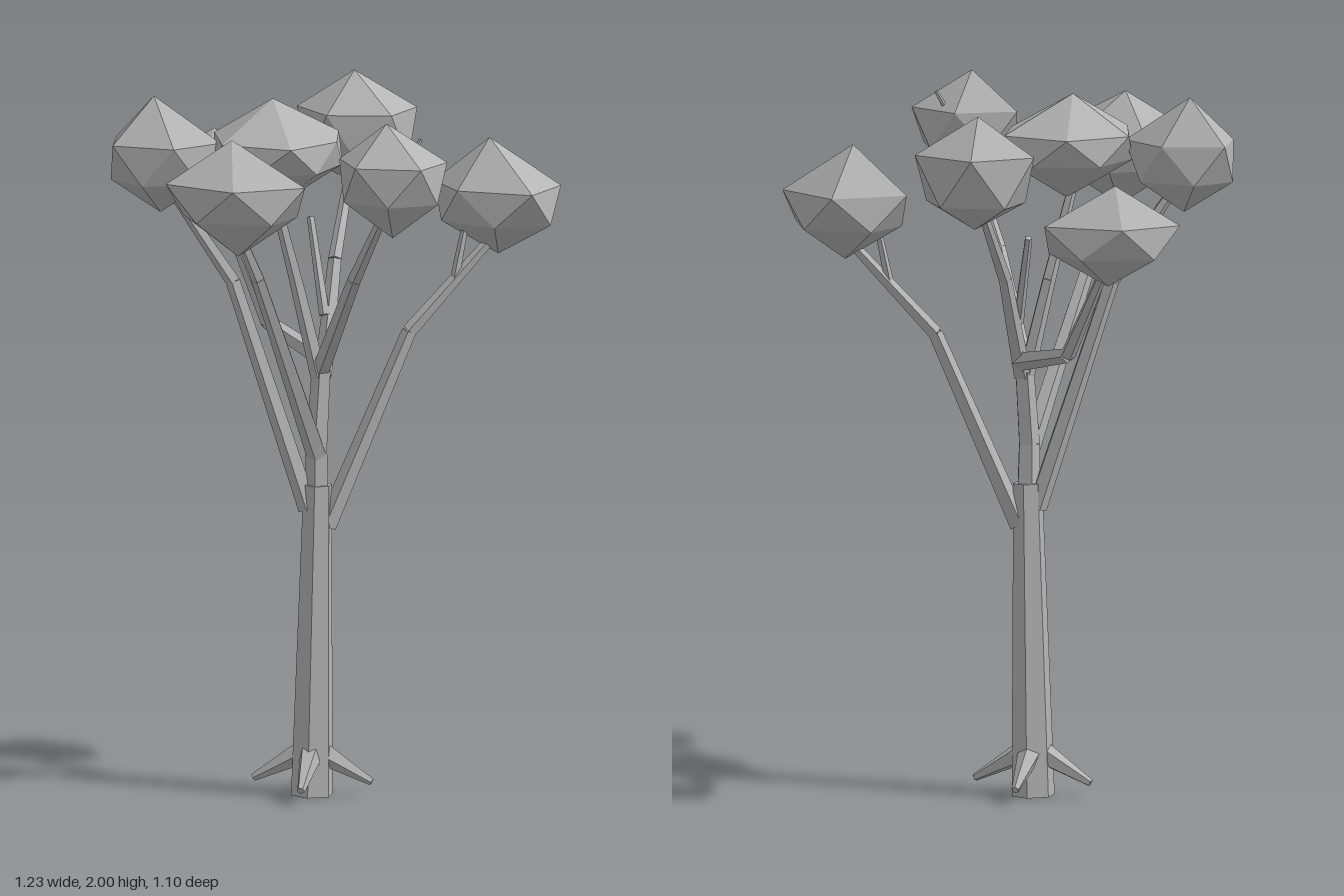
import * as THREE from 'three';

const grey = new THREE.MeshStandardMaterial({ color: 0xb4b4b4, flatShading: true });
grey.name = 'grey';

const UP = new THREE.Vector3(0, 1, 0);

// Tapered limb through points of [x, y, z, radius], one faceted piece per span
function limb(name, points, sides = 5) {
  const group = new THREE.Group();
  group.name = name;
  for (let i = 0; i < points.length - 1; i++) {
    const a = new THREE.Vector3(...points[i]);
    const b = new THREE.Vector3(...points[i + 1]);
    const dir = b.clone().sub(a);
    const geo = new THREE.CylinderGeometry(points[i + 1][3], points[i][3], dir.length(), sides);
    const mesh = new THREE.Mesh(geo, grey);
    mesh.name = name + 'Segment';
    mesh.position.copy(a).add(b).multiplyScalar(0.5);
    mesh.quaternion.setFromUnitVectors(UP, dir.normalize());
    group.add(mesh);
  }
  return group;
}

// Faceted leaf clump: apex, upper ring, staggered lower ring, bottom point
function clump({ name, apex, top, bottom, upper, lower, ring }) {
  const n = ring.length;
  const cx = ring.reduce((s, p) => s + p[0], 0) / n;
  const cz = ring.reduce((s, p) => s + p[1], 0) / n;
  const U = ring.map(([x, z]) => [x, upper, z]);
  const L = ring.map(([x, z], i) => {
    const q = ring[(i + 1) % n];
    return [cx + ((x + q[0]) / 2 - cx) * 1.08, lower, cz + ((z + q[1]) / 2 - cz) * 1.08];
  });
  const A = [apex[0], top, apex[1]];
  const B = [cx, bottom, cz];
  const v = [];
  for (let i = 0; i < n; i++) {
    const j = (i + 1) % n;
    v.push(...A, ...U[j], ...U[i]);
    v.push(...U[i], ...U[j], ...L[i]);
    v.push(...U[j], ...L[j], ...L[i]);
    v.push(...B, ...L[i], ...L[j]);
  }
  const geo = new THREE.BufferGeometry();
  geo.setAttribute('position', new THREE.Float32BufferAttribute(v, 3));
  geo.computeVertexNormals();
  const mesh = new THREE.Mesh(geo, grey);
  mesh.name = name;
  return mesh;
}

// Ring corners are [x, z], clockwise from above
const CLUMPS = [
  { name: 'backRightClump', apex: [-0.42, -0.42], top: 1.82, bottom: 1.53, upper: 1.71, lower: 1.62,
    ring: [[-0.6, -0.385], [-0.47, -0.52], [-0.24, -0.515], [-0.24, -0.34], [-0.425, -0.275]] },
  { name: 'backClump', apex: [-0.02, -0.43], top: 2, bottom: 1.675, upper: 1.89, lower: 1.75,
    ring: [[-0.185, -0.43], [-0.035, -0.55], [0.15, -0.48], [0.105, -0.335], [-0.075, -0.305]] },
  { name: 'leftClump', apex: [0.41, -0.215], top: 1.865, bottom: 1.535, upper: 1.73, lower: 1.63,
    ring: [[0.245, -0.24], [0.43, -0.36], [0.61, -0.24], [0.56, -0.075], [0.34, -0.1]] },
  { name: 'middleClump', apex: [-0.165, 0.02], top: 2, bottom: 1.7, upper: 1.89, lower: 1.81,
    ring: [[-0.34, -0.015], [-0.195, -0.143], [0, -0.103], [0.027, 0.063], [-0.075, 0.21], [-0.28, 0.172]] },
  { name: 'rightClump', apex: [-0.5, 0.05], top: 2, bottom: 1.67, upper: 1.87, lower: 1.76,
    ring: [[-0.617, 0], [-0.445, -0.046], [-0.31, 0.046], [-0.42, 0.166], [-0.6, 0.143]] },
  { name: 'frontRightClump', apex: [-0.21, 0.388], top: 1.95, bottom: 1.62, upper: 1.83, lower: 1.73,
    ring: [[-0.385, 0.458], [-0.295, 0.302], [-0.09, 0.285], [0.01, 0.438], [-0.175, 0.547]] },
  { name: 'frontLeftClump', apex: [0.22, 0.318], top: 2, bottom: 1.675, upper: 1.89, lower: 1.78,
    ring: [[0.08, 0.295], [0.24, 0.215], [0.388, 0.288], [0.34, 0.425], [0.153, 0.434]] },
];

const LIMBS = {
  leftBranch: [[-0.02, 0.77, -0.03, 0.03], [0.2, 1.32, -0.115, 0.022], [0.42, 1.58, -0.2, 0.015]],
  rightBranch: [[-0.07, 0.82, -0.02, 0.03], [-0.28, 1.47, 0.01, 0.022], [-0.44, 1.72, 0.05, 0.015]],
  frontRightBranch: [[-0.045, 0.98, -0.01, 0.03], [-0.15, 1.54, 0.31, 0.02], [-0.19, 1.68, 0.38, 0.015]],
  frontLeftBranch: [[-0.035, 1.22, -0.02, 0.026], [0.1, 1.52, 0.18, 0.02], [0.21, 1.74, 0.29, 0.013]],
  backRightBranch: [[-0.03, 1.24, -0.05, 0.028], [-0.23, 1.3, -0.25, 0.022], [-0.38, 1.58, -0.38, 0.014]],
  backBranch: [[-0.03, 1.2, -0.03, 0.027], [-0.03, 1.5, -0.2, 0.02], [-0.025, 1.72, -0.4, 0.014]],
  middleBranch: [[-0.04, 1.2, -0.02, 0.025], [-0.1, 1.47, 0, 0.02], [-0.16, 1.74, 0.04, 0.014]],
  leftTwig: [[0.32, 1.46, -0.16, 0.014], [0.35, 1.63, -0.18, 0.01]],
  frontLeftTwig: [[0.22, 1.78, 0.28, 0.01], [0.305, 1.945, 0.25, 0.006]],
  backTwig: [[-0.04, 1.36, -0.1, 0.016], [-0.1, 1.62, -0.2, 0.011]],
};

export function createModel() {
  const tree = new THREE.Group();
  tree.name = 'tree';

  // Trunk and the central stem above the first fork
  tree.add(limb('trunk', [[-0.062, 0, -0.025, 0.062], [-0.045, 0.89, -0.022, 0.042]], 6));
  tree.add(limb('stem', [[-0.045, 0.87, -0.022, 0.035], [-0.045, 1, -0.015, 0.032], [-0.032, 1.25, -0.025, 0.028]]));

  // Four root spikes
  for (let i = 0; i < 4; i++) {
    const a = (i * Math.PI) / 2;
    const at = (r, y, w) => [-0.06 + Math.cos(a) * r, y, -0.025 + Math.sin(a) * r, w];
    tree.add(limb('root', [at(0.03, 0.12, 0.034), at(0.17, 0.042, 0.011)]));
  }

  // Branches and foliage
  for (const [name, points] of Object.entries(LIMBS)) tree.add(limb(name, points));
  for (const c of CLUMPS) tree.add(clump(c));
  return tree;
}
